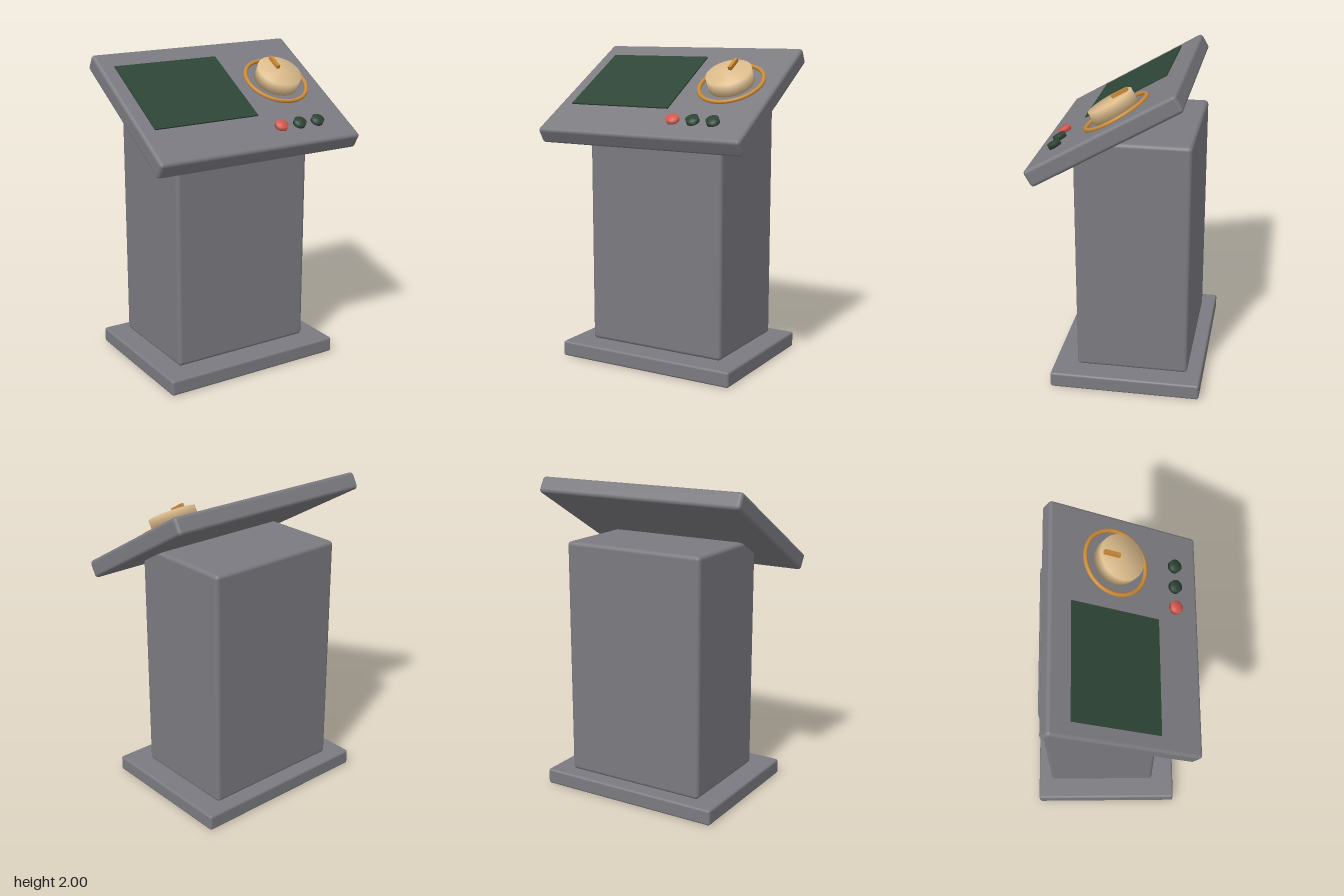
import * as THREE from 'three';
import { RoundedBoxGeometry } from 'three/addons/geometries/RoundedBoxGeometry.js';

const paint = (name, color) => {
  const m = new THREE.MeshStandardMaterial({ color });
  m.name = name;
  return m;
};

export function createModel() {
  const grey = paint('casing grey', 0x7b7a80);
  const green = paint('dark green', 0x2d4536);
  const cream = paint('knob cream', 0xdcbc8c);
  const brass = paint('brass', 0xc98a38);
  const red = paint('button red', 0xd85a50);

  const model = new THREE.Group();
  model.name = 'controlConsole';

  const add = (parent, name, geometry, material, x, y, z) => {
    const mesh = new THREE.Mesh(geometry, material);
    mesh.name = name;
    mesh.position.set(x, y, z);
    parent.add(mesh);
    return mesh;
  };
  const roundedBox = (w, h, d, r) => new RoundedBoxGeometry(w, h, d, 4, r);
  // Softly shaded round button or knob, standing on its own base
  const disc = (r, h, sides) => new THREE.LatheGeometry(
    [[0, 0], [r, 0], [r, h], [0, h]].map(([x, y]) => new THREE.Vector2(x, y)), sides);

  // Stand
  add(model, 'base', roundedBox(1.22, 0.1, 0.95, 0.015), grey, 0, 0.05, -0.045);
  add(model, 'column', roundedBox(0.95, 1.52, 0.71, 0.025), grey, 0, 0.86, -0.075);

  // Sloping desk: everything on it shares the same 30 degree tilt
  const desk = new THREE.Group();
  desk.name = 'desk';
  desk.position.set(0, 1.705, 0.06);
  desk.rotation.x = Math.PI / 6;
  model.add(desk);
  const top = 0.055;
  add(desk, 'deskPanel', roundedBox(1.42, 0.11, 1.01, 0.022), grey, 0, 0, 0);
  add(desk, 'screen', new THREE.BoxGeometry(0.715, 0.009, 0.582), green, -0.257, top + 0.0035, -0.073);

  // Dial: ring, knob and pointer
  const dial = new THREE.Group();
  dial.name = 'dial';
  dial.position.set(0.405, top, -0.073);
  desk.add(dial);
  add(dial, 'dialRing', new THREE.TorusGeometry(0.204, 0.013, 12, 64), brass, 0, 0.006, 0)
    .rotation.x = -Math.PI / 2;
  add(dial, 'knob', disc(0.145, 0.085, 48), cream, 0, 0, 0);
  add(dial, 'pointer', new THREE.BoxGeometry(0.023, 0.03, 0.104), brass, 0, 0.093, -0.075);

  // Row of push buttons
  [red, green, green].forEach((material, i) =>
    add(desk, 'button' + (i + 1), disc(0.04, 0.03, 32), material, 0.2 + i * 0.136, top, 0.337));

  return model;
}
